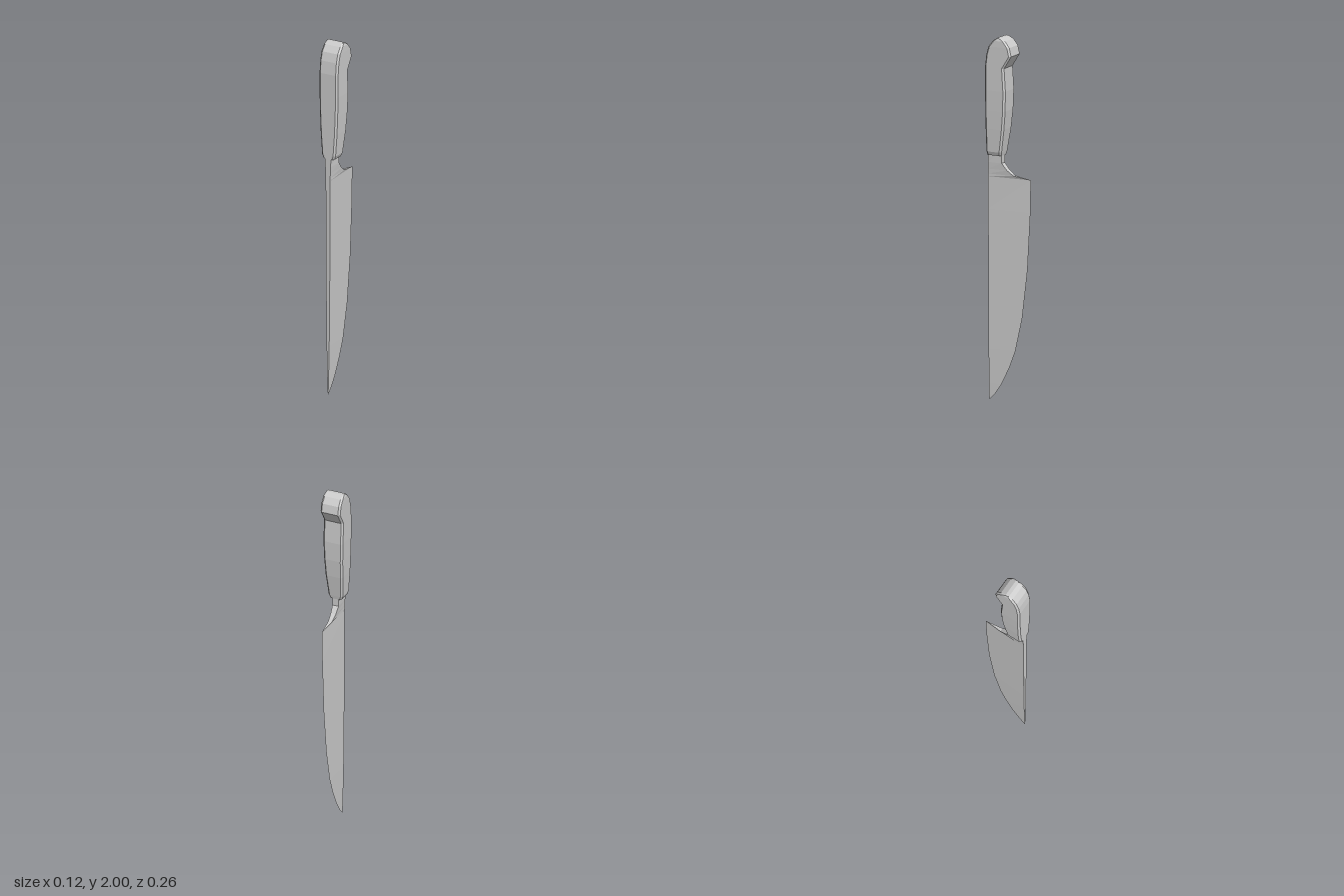
import * as THREE from 'three';

const SPINE = 0.127;

// Skins a stack of equal-length rings (bottom to top, counter-clockwise from above) and caps both ends.
function loft(rings) {
  const n = rings[0].length;
  const index = [];
  for (let i = 0; i < rings.length - 1; i++) {
    for (let j = 0; j < n; j++) {
      const a = i * n + j, b = i * n + (j + 1) % n;
      index.push(a, b, b + n, a, b + n, a + n);
    }
  }
  const top = (rings.length - 1) * n;
  for (let k = 1; k < n - 1; k++) {
    index.push(0, k + 1, k);
    index.push(top, top + k, top + k + 1);
  }
  const geometry = new THREE.BufferGeometry();
  geometry.setAttribute('position', new THREE.Float32BufferAttribute(rings.flat(2), 3));
  geometry.setIndex(index);
  const flat = geometry.toNonIndexed();
  flat.computeVertexNormals();
  return flat;
}

// Tapered four-sided section: half width w at the spine, e at the rear.
const wedge = ([y, rear, w, e]) => [
  [-w, y, SPINE], [w, y, SPINE], [e, y, rear], [-e, y, rear],
];

// Rectangular section with chamfered corners.
const chamfered = ([y, front, rear, w]) => {
  const c = Math.min(0.01, (front - rear) * 0.3);
  return [
    [-w + c, y, front], [w - c, y, front], [w, y, front - c], [w, y, rear + c],
    [w - c, y, rear], [-w + c, y, rear], [-w, y, rear + c], [-w, y, front - c],
  ];
};

export function createModel() {
  const group = new THREE.Group();
  group.name = 'kitchenKnife';
  const material = new THREE.MeshStandardMaterial({ color: 0xcccccc, flatShading: true });
  const add = (name, geometry) => {
    const mesh = new THREE.Mesh(geometry, material);
    mesh.name = name;
    group.add(mesh);
  };

  // Blade: curved cutting edge, straight spine; rows are height, edge z, spine half width, edge half width
  const heel = [1.228, -0.127, 0.014, 0];
  add('blade', loft([
    [0, 0.126, 0.0005, 0],
    [0.03, 0.095, 0.002, 0],
    [0.09, 0.053, 0.004, 0],
    [0.185, 0.005, 0.006, 0],
    [0.28, -0.032, 0.008, 0],
    [0.466, -0.074, 0.010, 0],
    [0.73, -0.106, 0.012, 0],
    [1.05, -0.124, 0.013, 0],
    heel,
  ].map(wedge)));

  // Bolster: sweeps from the heel up into the handle, thickening as it goes
  add('bolster', loft([
    heel,
    [1.243, -0.026, 0.014, 0.011],
    [1.27, 0.011, 0.015, 0.015],
    [1.307, 0.042, 0.017, 0.018],
    [1.37, 0.042, 0.019, 0.018],
  ].map(wedge)));

  // Handle with hooked, rounded pommel; rows are height, front z, rear z, half width
  add('handle', loft([
    [1.35, 0.125, 0.039, 0.034],
    [1.37, 0.127, 0.035, 0.042],
    [1.497, 0.127, 0.016, 0.051],
    [1.6, 0.127, 0.006, 0.055],
    [1.71, 0.127, 0.003, 0.058],
    [1.836, 0.127, 0.011, 0.058],
    [1.905, 0.119, -0.032, 0.058],
    [1.952, 0.105, -0.021, 0.058],
    [1.985, 0.078, 0.005, 0.057],
    [2.0, 0.055, 0.035, 0.052],
  ].map(chamfered)));

  // Slight twist about the vertical axis
  group.rotation.y = -0.025;
  return group;
}
